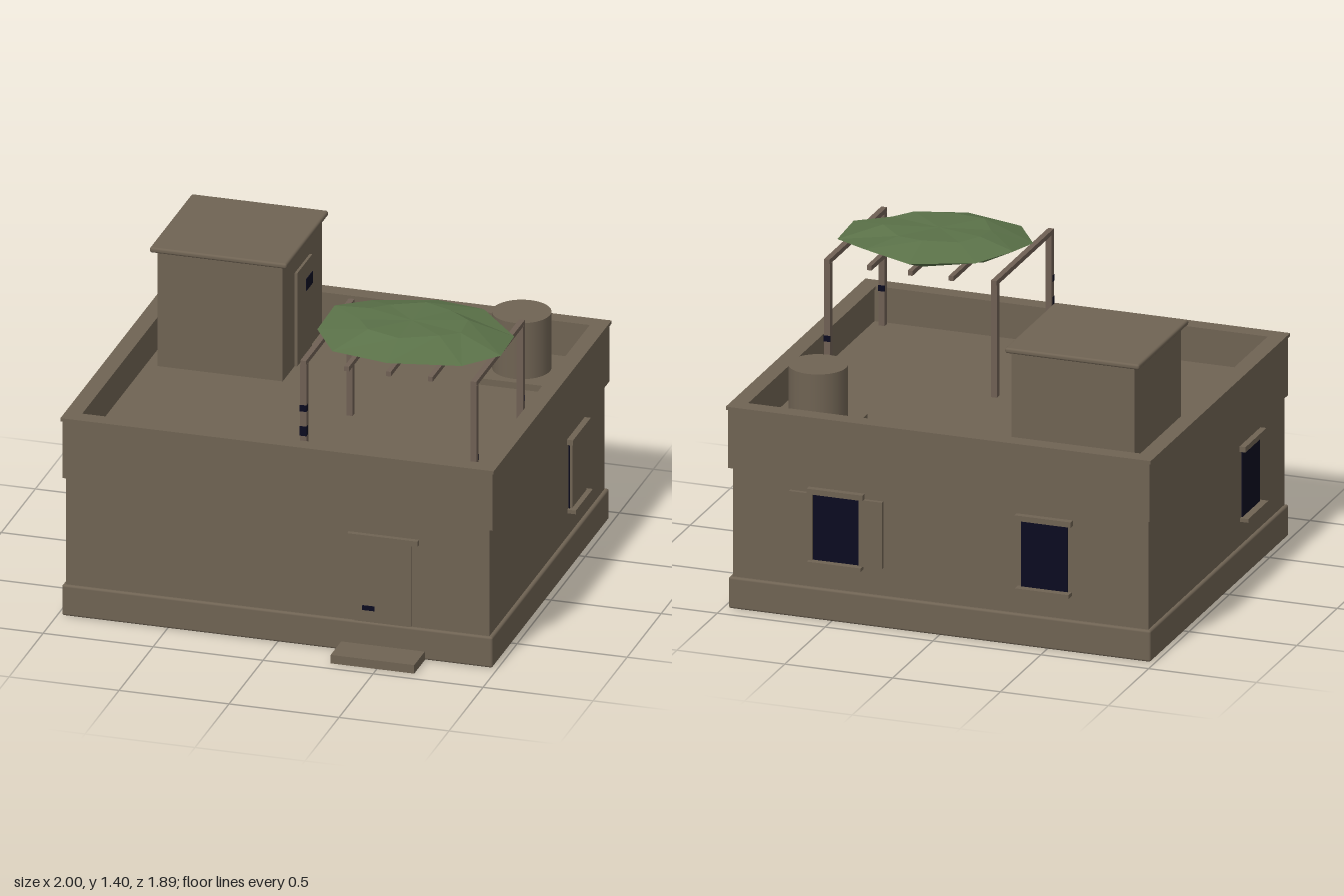
import * as THREE from 'three';
import { RoundedBoxGeometry } from 'three/addons/geometries/RoundedBoxGeometry.js';

const mat = (name, color) => {
  const m = new THREE.MeshStandardMaterial({ color });
  m.name = name;
  return m;
};

export function createModel() {
  const plaster = mat('plaster', 0x6f6353);
  const timber = mat('timber', 0x6f6054);
  const dark = mat('dark glass', 0x0b0b20);
  const leaf = mat('foliage', 0x5a7148);
  leaf.flatShading = true;

  const model = new THREE.Group();
  model.name = 'flatRoofHouse';

  const add = (name, geo, material, parent = model) => {
    const mesh = new THREE.Mesh(geo, material);
    mesh.name = name;
    parent.add(mesh);
    return mesh;
  };
  // box given by its minimum and maximum on each axis
  const box = (name, x0, x1, y0, y1, z0, z1, material = plaster, parent = model, r = 0) => {
    const s = [x1 - x0, y1 - y0, z1 - z0];
    const geo = r ? new RoundedBoxGeometry(...s, 2, r) : new THREE.BoxGeometry(...s);
    const mesh = add(name, geo, material, parent);
    mesh.position.set((x0 + x1) / 2, (y0 + y1) / 2, (z0 + z1) / 2);
    return mesh;
  };

  // main body; the top of the wall block is the roof floor
  box('plinth', -0.98, 0.977, 0, 0.145, -0.925, 0.79, plaster, model, 0.01);
  box('walls', -0.965, 0.96, 0.1, 0.77, -0.91, 0.777);
  box('doorStep', 0.29, 0.67, 0, 0.04, 0.77, 0.945);

  // hollow parapet and its slightly wider coping
  const frame = (name, outer, inner, y0, y1) => {
    const rect = (path, h) => {
      path.moveTo(-0.985 + h, -0.795 + h);
      path.lineTo(0.985 - h, -0.795 + h);
      path.lineTo(0.985 - h, 0.935 - h);
      path.lineTo(-0.985 + h, 0.935 - h);
      path.closePath();
      return path;
    };
    const shape = rect(new THREE.Shape(), outer);
    shape.holes.push(rect(new THREE.Path(), inner));
    const geo = new THREE.ExtrudeGeometry(shape, { depth: y1 - y0, bevelEnabled: false });
    geo.rotateX(-Math.PI / 2);
    add(name, geo, plaster).position.y = y0;
  };
  frame('parapet', 0.007, 0.068, 0.65, 0.92);
  frame('coping', 0, 0.076, 0.92, 0.935);

  // front door
  box('frontDoor', 0.35, 0.605, 0.145, 0.535, 0.77, 0.785);
  box('frontDoorLintel', 0.32, 0.64, 0.535, 0.56, 0.77, 0.8);
  box('frontDoorHandle', 0.385, 0.44, 0.2, 0.222, 0.785, 0.788, dark);

  // windows, modelled facing +z at the wall surface and turned into place
  const addWindow = (name, x, z, turn, shutters) => {
    const g = new THREE.Group();
    g.name = name;
    box('pane', -0.108, 0.108, 0.27, 0.58, -0.01, 0.006, dark, g);
    box('lintel', -0.13, 0.13, 0.58, 0.605, -0.01, 0.028, plaster, g);
    box('sill', -0.125, 0.125, 0.255, 0.272, -0.01, 0.039, plaster, g);
    for (const side of [-1, 1]) {
      if (shutters === 'open') {
        const c = side * 0.162;
        box('shutter', c - 0.054, c + 0.054, 0.272, 0.58, -0.01, 0.018, plaster, g);
      } else if (shutters === 'closed') {
        const c = side * 0.0515;
        box('shutter', c - 0.05, c + 0.05, 0.275, 0.58, 0, 0.017, plaster, g);
      }
    }
    g.position.set(x, 0, z);
    g.rotation.y = turn;
    model.add(g);
  };
  addWindow('leftWindow', 0.96, -0.49, Math.PI / 2, 'closed');
  addWindow('rightWindow', -0.965, 0.35, -Math.PI / 2);
  addWindow('backWindowShuttered', 0.48, -0.91, Math.PI, 'open');
  addWindow('backWindowPlain', -0.485, -0.91, Math.PI);

  // stair house on the roof
  box('stairHouse', -0.865, -0.295, 0.76, 1.312, -0.815, -0.24);
  box('stairHouseRoof', -0.895, -0.272, 1.31, 1.335, -0.84, -0.22, plaster, model, 0.01);
  box('stairHouseDoor', -0.3, -0.283, 0.77, 1.21, -0.635, -0.415);
  box('stairHouseDoorHandle', -0.283, -0.28, 1.075, 1.13, -0.635, -0.54, dark);

  // water tank on its pad
  box('tankPad', 0.505, 0.84, 0.765, 0.8, -0.795, -0.46);
  add('waterTank', new THREE.CylinderGeometry(0.13, 0.13, 0.265, 24), plaster)
    .position.set(0.672, 0.9325, -0.627);

  // pergola
  for (const x of [0.093, 0.867]) {
    for (const z of [0.018, 0.697]) {
      box('pergolaPost', x - 0.014, x + 0.014, 0.765, 1.29, z - 0.015, z + 0.015, timber);
    }
    box('pergolaBeam', x - 0.013, x + 0.013, 1.288, 1.31, 0, 0.712, timber);
  }
  for (const x of [0.29, 0.48, 0.67]) {
    box('pergolaRafter', x - 0.011, x + 0.011, 1.285, 1.307, 0, 0.71, timber);
  }
  // dark bands on the posts
  for (const [y0, y1] of [[0.955, 1.0], [1.07, 1.1]]) {
    box('postBand', 0.078, 0.108, y0, y1, 0.69, 0.714, dark);
  }
  for (const z of [0.003, 0.682]) {
    box('postBand', 0.852, 0.882, 0.93, 0.957, z - 0.003, z + 0.003, dark);
  }

  // faceted vine canopy: rings of ten from the crown, round the rim, to the underside
  const rim = [
    [0.48, -0.02], [0.71, 0.05], [0.9, 0.22], [0.91, 0.45], [0.775, 0.585],
    [0.47, 0.695], [0.2, 0.63], [0.07, 0.43], [0.085, 0.225], [0.205, 0.08]
  ];
  const rimY = [1.345, 1.36, 1.325, 1.33, 1.32, 1.34, 1.335, 1.34, 1.37, 1.35];
  const cx = 0.47, cz = 0.335, n = rim.length;
  const ring = (s, yAt) => rim.map(([x, z], i) => [cx + (x - cx) * s, yAt(i), cz + (z - cz) * s]);
  const rings = [
    ring(0, () => 1.395),
    ring(0.55, i => (i % 2 ? 1.392 : 1.4)),
    ring(1, i => rimY[i]),
    ring(0.6, i => (i % 2 ? 1.3 : 1.285)),
    ring(0, () => 1.268)
  ];
  const pos = [];
  for (let k = 0; k < rings.length - 1; k++) {
    for (let i = 0; i < n; i++) {
      const j = (i + 1) % n;
      const a = rings[k][i], b = rings[k][j], c = rings[k + 1][i], d = rings[k + 1][j];
      if (k < rings.length - 2) pos.push(...a, ...d, ...c);
      else pos.push(...a, ...b, ...c);
      if (k > 0 && k < rings.length - 2) pos.push(...a, ...b, ...d);
    }
  }
  const canopy = new THREE.BufferGeometry();
  canopy.setAttribute('position', new THREE.Float32BufferAttribute(pos, 3));
  canopy.computeVertexNormals();
  leaf.side = THREE.DoubleSide;
  add('vineCanopy', canopy, leaf);

  return model;
}
